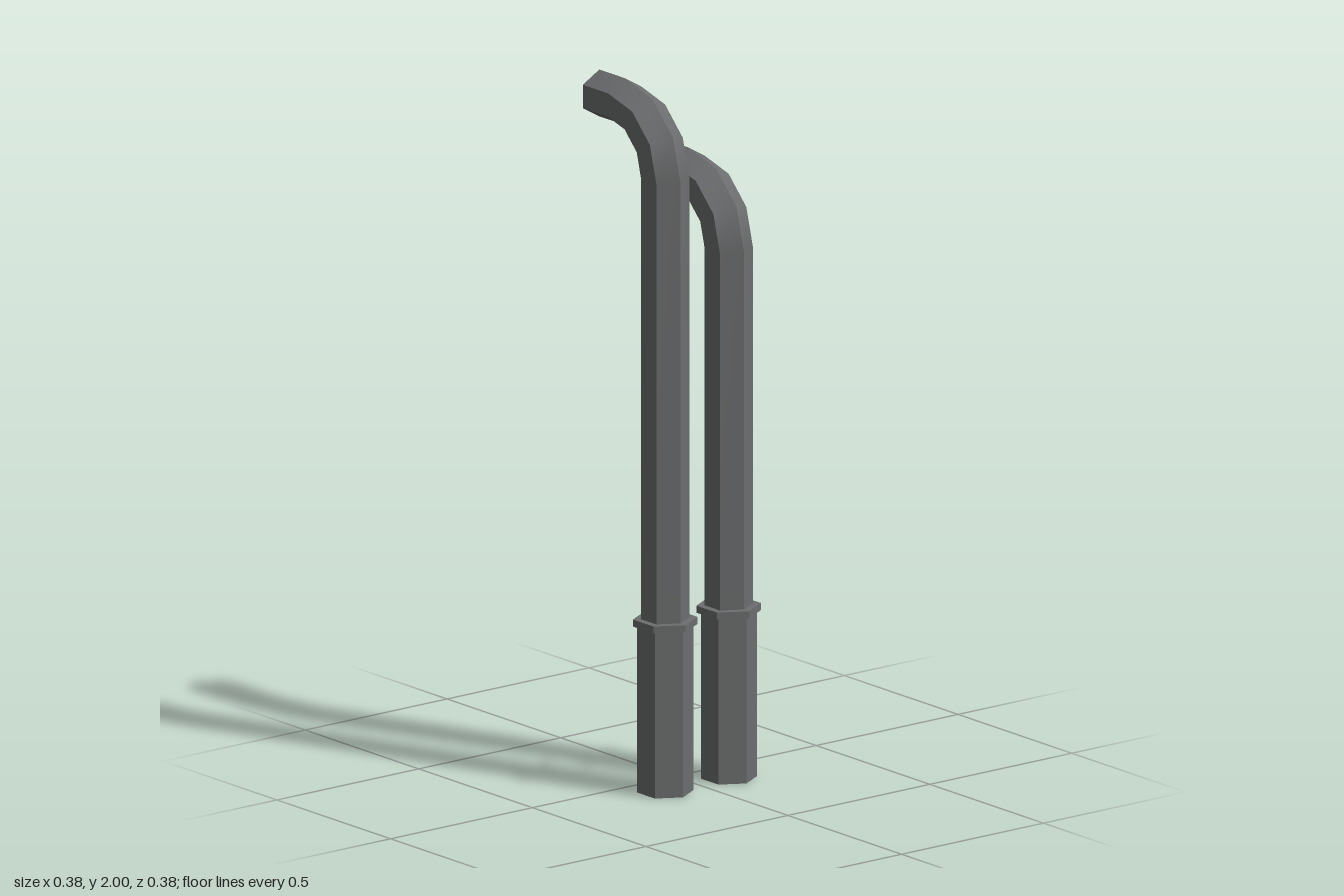
import * as THREE from 'three';

const SIDES = 6;
const PIPE_R = 0.067;
const BEND_R = 0.18;
const AXIS_Z = 0.1;

// Hexagonal tube rising from y0, bending back to -z; smooth along, creased between sides
function bentPipeGeometry(y0, yBend, zEnd) {
  const stations = [{ z: AXIS_Z, y: y0, t: 0 }];
  for (let i = 0; i <= 3; i++) {
    const t = (i / 3) * Math.PI / 2;
    stations.push({
      z: AXIS_Z - BEND_R + BEND_R * Math.cos(t),
      y: yBend + BEND_R * Math.sin(t),
      t,
    });
  }
  stations.push({ z: zEnd, y: yBend + BEND_R, t: Math.PI / 2 });

  const positions = [];
  const indices = [];
  for (let k = 0; k < SIDES; k++) {
    const base = positions.length / 3;
    stations.forEach(({ z, y, t }, i) => {
      for (const corner of [k, k + 1]) {
        const a = (corner / SIDES) * Math.PI * 2;
        const out = PIPE_R * Math.cos(a);
        positions.push(PIPE_R * Math.sin(a), y + out * Math.sin(t), z + out * Math.cos(t));
      }
      if (i > 0) {
        const p = base + (i - 1) * 2;
        indices.push(p, p + 1, p + 3, p, p + 3, p + 2);
      }
    });
  }
  const geo = new THREE.BufferGeometry();
  geo.setAttribute('position', new THREE.Float32BufferAttribute(positions, 3));
  geo.setIndex(indices);
  geo.computeVertexNormals();
  return geo;
}

// Open hexagonal shell turned from a [radius, y] profile, with flat sides
function hexShell(profile) {
  const points = profile.map(([r, y]) => new THREE.Vector2(r, y));
  const geo = new THREE.LatheGeometry(points, SIDES).toNonIndexed();
  geo.computeVertexNormals();
  geo.translate(0, 0, AXIS_Z);
  return geo;
}

export function createModel() {
  const model = new THREE.Group();
  model.name = 'bentPipes';
  const steel = new THREE.MeshStandardMaterial({ color: 0x6c6d6e });
  steel.name = 'darkSteel';
  steel.side = THREE.DoubleSide;

  const add = (parent, name, geo) => {
    const mesh = new THREE.Mesh(geo, steel);
    mesh.name = name;
    parent.add(mesh);
  };

  const sleeve = hexShell([[0.078, 0], [0.078, 0.475]]);
  const collar = hexShell([[PIPE_R, 0.475], [0.09, 0.475], [0.09, 0.495], [PIPE_R, 0.495]]);

  // Tall pipe on the right, short pipe on the left
  for (const [name, x, yBend] of [['tallPipe', -0.112, 1.753], ['shortPipe', 0.112, 1.515]]) {
    const pipe = new THREE.Group();
    pipe.name = name;
    pipe.position.x = x;
    add(pipe, 'sleeve', sleeve);
    add(pipe, 'collar', collar);
    add(pipe, 'bentTube', bentPipeGeometry(0.475, yBend, -0.19));
    model.add(pipe);
  }
  return model;
}
